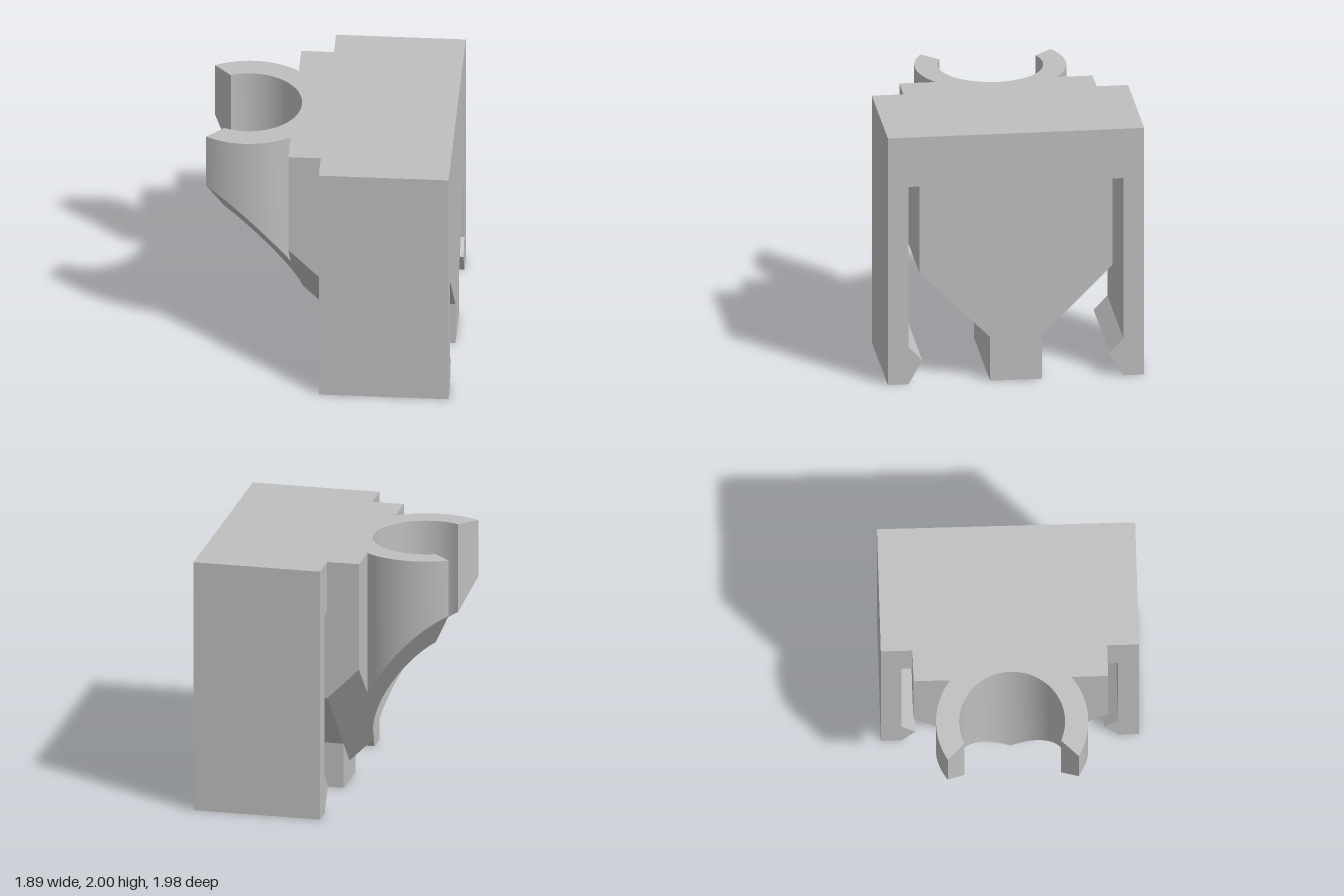
import * as THREE from 'three';
import { toCreasedNormals } from 'three/addons/utils/BufferGeometryUtils.js';

const FRONT_X = -0.05, BACK_X = 0.945, TOP = 2;
const RING_X = -0.65, R_IN = 0.405, R_OUT = 0.582;

// Points on an arc about the ring centre
function arc(radius, from, to, n) {
  return Array.from({ length: n + 1 }, (_, i) => {
    const a = from + (to - from) * i / n;
    return [RING_X + radius * Math.cos(a), radius * Math.sin(a)];
  });
}

// Block with a central tapered tongue, two slots and two hooked legs
function bodyGeometry() {
  const half = [[0.2, 0], [0.2, 0.355], [0.745, 0.9], [0.745, 1.6], [0.828, 1.6],
    [0.828, 0.3], [0.722, 0.187], [0.828, 0], [0.988, 0], [0.988, TOP]];
  const outline = [...half, ...half.map(([z, y]) => [-z, y]).reverse()];
  const shape = new THREE.Shape(outline.map(([z, y]) => new THREE.Vector2(z, y)));
  const geo = new THREE.ExtrudeGeometry(shape, { depth: BACK_X - FRONT_X, bevelEnabled: false });
  return geo.rotateY(Math.PI / 2).translate(FRONT_X, 0, 0);
}

// One half of the mounting plate and open ring; its underside slopes at 45 degrees
function clipHalfGeometry(side) {
  const outline = [[FRONT_X, 0], [FRONT_X, 0.745], [-0.3, 0.745],
    ...arc(R_OUT, Math.atan2(0.465, 0.35), Math.atan2(0.5, -0.295), 32),
    ...arc(R_IN, Math.atan2(0.37, -0.165), 0, 48)];
  const shape = new THREE.Shape(outline.map(([x, z]) => new THREE.Vector2(x, -side * z)));
  const geo = new THREE.ExtrudeGeometry(shape, { depth: TOP, bevelEnabled: false });
  geo.rotateX(-Math.PI / 2);
  const p = geo.attributes.position;
  for (let i = 0; i < p.count; i++) {
    if (p.getY(i) < 0.01) p.setY(i, 0.105 + Math.abs(p.getZ(i)) - p.getX(i));
  }
  return toCreasedNormals(geo, 0.4);
}

export function createModel() {
  const group = new THREE.Group();
  group.name = 'clipBracket';
  const grey = new THREE.MeshStandardMaterial({ color: 0xbfbfbf });
  grey.name = 'grey';

  const add = (name, geometry) => {
    const mesh = new THREE.Mesh(geometry, grey);
    mesh.name = name;
    group.add(mesh);
  };
  add('body', bodyGeometry());
  add('frontClipHalf', clipHalfGeometry(1));
  add('backClipHalf', clipHalfGeometry(-1));
  return group;
}
